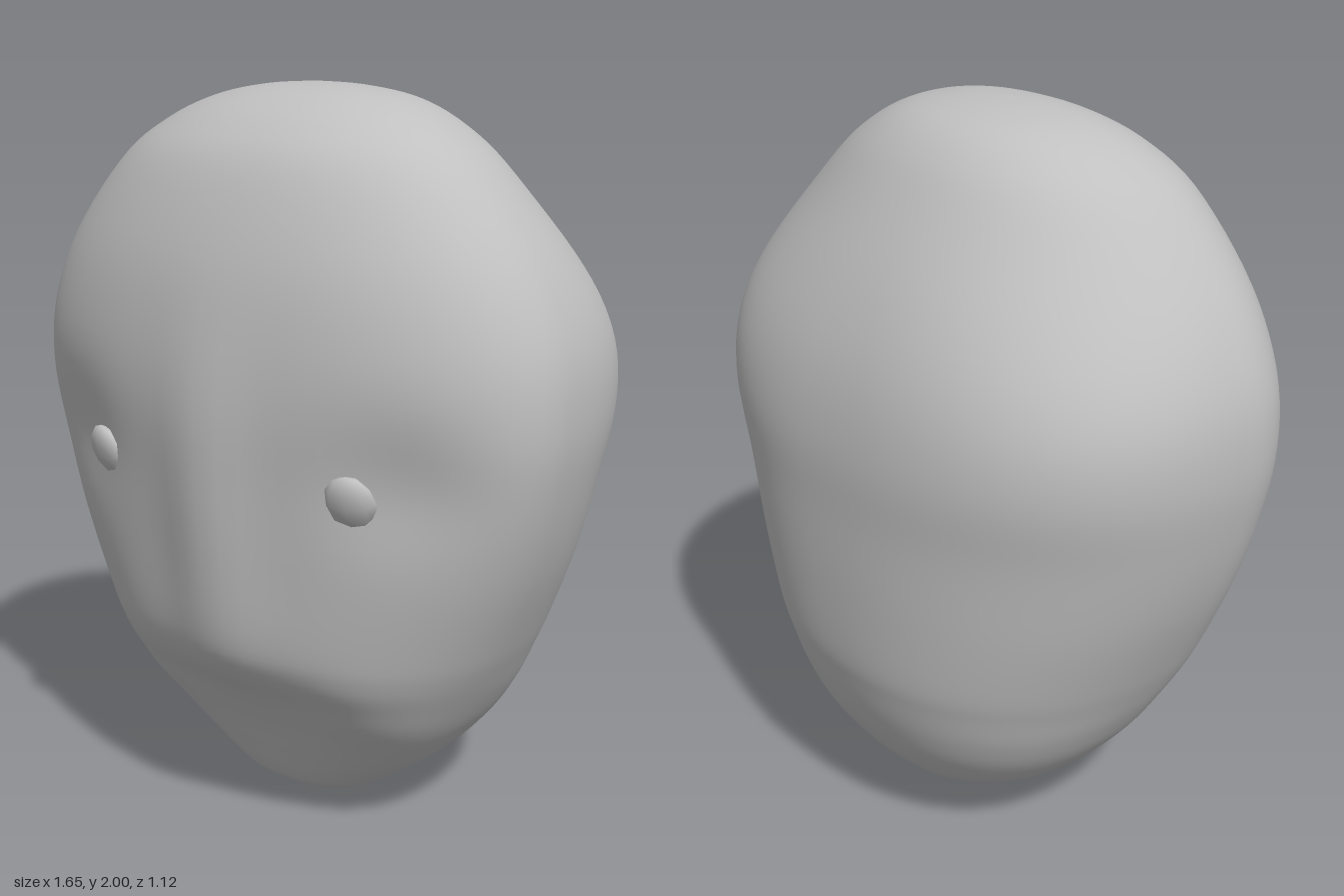
import * as THREE from 'three';

const grey = new THREE.MeshStandardMaterial({ color: 0xc0c0c0 });
grey.name = 'stone grey';

// Head sections from chin to crown: height, half width, front z, back z
const sections = [
  [0, 0, 0.02, 0.02], [0.02, 0.11, 0.105, -0.1], [0.07, 0.215, 0.195, -0.22],
  [0.12, 0.29, 0.235, -0.30], [0.2, 0.395, 0.275, -0.385], [0.3, 0.485, 0.325, -0.455],
  [0.4, 0.55, 0.39, -0.50], [0.5, 0.603, 0.475, -0.53], [0.6, 0.65, 0.517, -0.55],
  [0.8, 0.732, 0.545, -0.56], [1.0, 0.79, 0.56, -0.56], [1.2, 0.822, 0.56, -0.555],
  [1.4, 0.805, 0.535, -0.515], [1.6, 0.715, 0.49, -0.43], [1.8, 0.555, 0.41, -0.31],
  [1.9, 0.425, 0.325, -0.235], [1.96, 0.295, 0.23, -0.155], [1.99, 0.15, 0.14, -0.05],
  [2, 0, 0.05, 0.05],
];

const gauss = (d, s) => Math.exp(-((d / s) ** 2));
const signedPow = (v, e) => Math.sign(v) * Math.abs(v) ** e;

function headGeometry(rows = 96, cols = 96) {
  const spline = (pick) => new THREE.CatmullRomCurve3(
    sections.map(pick), false, 'catmullrom', 0.5);
  const outline = spline((s) => new THREE.Vector3(s[1], s[0], 0));
  const depth = spline((s) => new THREE.Vector3(s[2], s[3], 0));
  const geo = new THREE.PlaneGeometry(1, 1, cols, rows);
  const pos = geo.attributes.position;

  for (let j = 0, i = 0; j <= rows; j++) {
    const t = 1 - j / rows;
    const { x: w, y } = outline.getPoint(t);
    const { x: front, y: back } = depth.getPoint(t);
    const ridge = 0.045 * gauss(y - 0.92, 0.42);
    // Widest line sits further forward at the temples
    const mid = back + (front - back) * (0.56 + 0.05 * gauss(y - 1.15, 0.5));
    // Squareness of the face side and the back side
    const facePower = 2 / (2.2 + 0.3 * gauss(y - 0.25, 0.2));
    const backPower = 2 / (2.3 + 0.35 * gauss(y - 1.3, 0.25)
      - 0.2 * THREE.MathUtils.smoothstep(y, 1.45, 1.75));
    for (let k = 0; k <= cols; k++, i++) {
      // Rounded-box section, seam at the middle of the back
      const a = (k / cols) * Math.PI * 2;
      const s = -Math.sin(a), c = -Math.cos(a);
      const power = c > 0 ? facePower : backPower;
      const x = w * signedPow(s, power);
      let z = mid + signedPow(c, power) * (c > 0 ? front - ridge - mid : mid - back);
      if (c > 0) {
        const fade = Math.min(1, c * 2), ax = Math.abs(x);
        // Nose ridge and shallow eye sockets running out to the temples
        z += fade * ridge * gauss(x, 0.13);
        z -= fade * 0.033 * gauss(ax - 0.53, 0.19) * gauss(y - 1.07, 0.17);
        // Jaw fills out beside the mouth
        z += fade * 0.035 * gauss(ax - 0.42, 0.2) * gauss(y - 0.37, 0.13);
      }
      pos.setXYZ(i, x, y, z);
    }
  }
  geo.computeVertexNormals();

  // Join the shading across the seam and at the two poles
  const n = geo.attributes.normal;
  for (let j = 0; j <= rows; j++) {
    const a = j * (cols + 1), b = a + cols;
    const v = new THREE.Vector3().fromBufferAttribute(n, a)
      .add(new THREE.Vector3().fromBufferAttribute(n, b)).normalize();
    n.setXYZ(a, v.x, v.y, v.z);
    n.setXYZ(b, v.x, v.y, v.z);
    if (j === 0 || j === rows) {
      for (let k = a; k <= b; k++) n.setXYZ(k, 0, j === 0 ? 1 : -1, 0);
    }
  }
  return geo;
}

export function createModel() {
  const model = new THREE.Group();
  model.name = 'head';

  const skull = new THREE.Mesh(headGeometry(), grey);
  skull.name = 'skull';
  model.add(skull);

  // Small flattened bead eyes
  for (const side of [-1, 1]) {
    const eye = new THREE.Mesh(new THREE.SphereGeometry(0.075, 8, 6), grey);
    eye.name = side > 0 ? 'leftEye' : 'rightEye';
    eye.scale.set(0.93, 1.03, 0.45);
    eye.position.set(side * 0.405, 1.025, 0.45);
    eye.rotation.set(0.35, side * 0.25, 0);
    model.add(eye);
  }
  return model;
}
